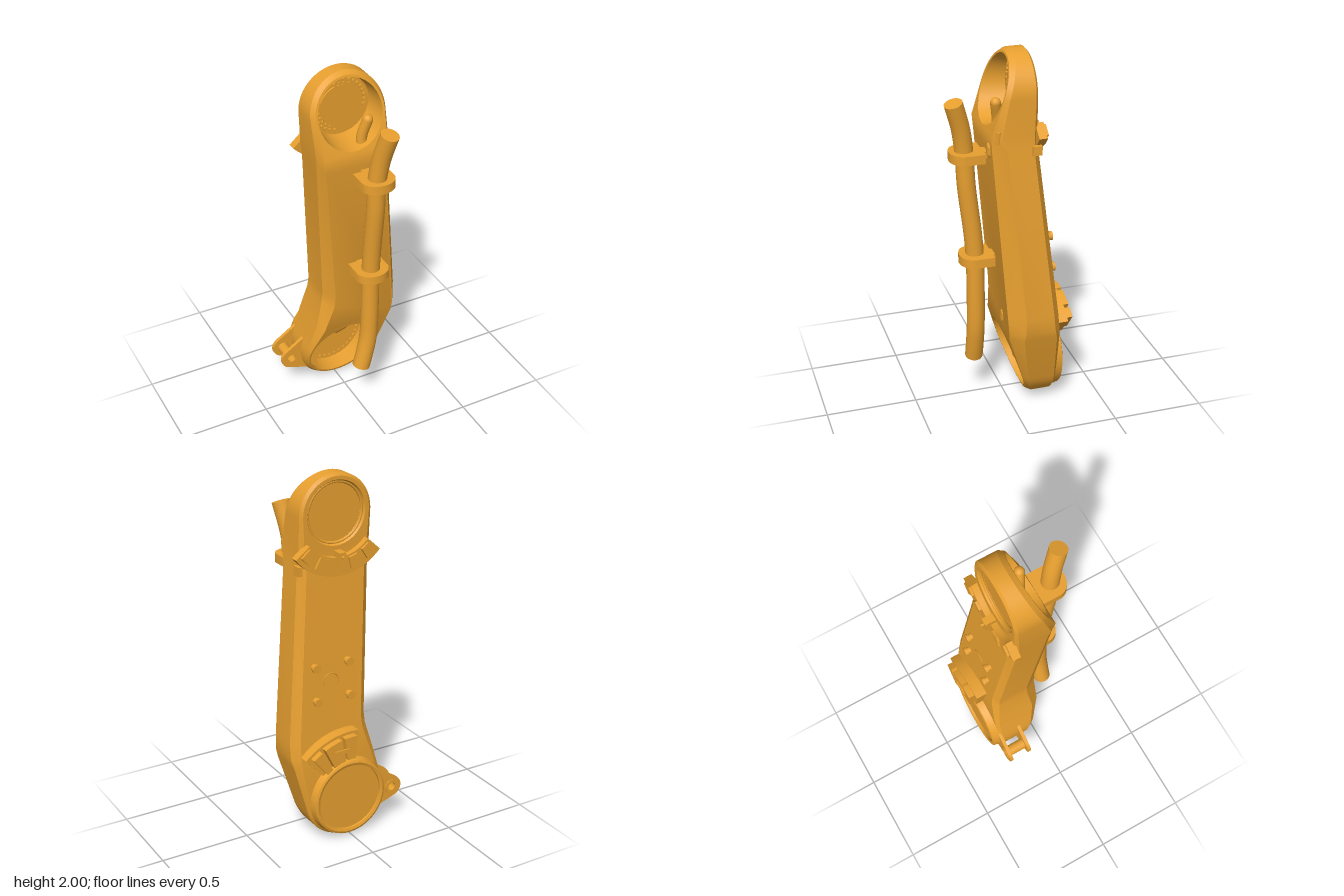
import * as THREE from 'three';
import { toCreasedNormals } from 'three/addons/utils/BufferGeometryUtils.js';

const MAT = new THREE.MeshStandardMaterial({ color: 0xe8a030, side: THREE.DoubleSide });
const TOP = { x: 0.01, y: 1.793, r: 0.18 };
const LOW = { x: 0.01, y: 0.235, r: 0.203 };
const Y_LOW = 0.46, Y_TOP = 1.6;
const lerp = THREE.MathUtils.mapLinear;

// Front and back surface depth by height
const frontZ = y => y > Y_TOP ? lerp(y, Y_TOP, 2, 0.11, -0.02)
  : y > Y_LOW ? lerp(y, Y_LOW, Y_TOP, 0.038, 0.11) : lerp(y, 0, Y_LOW, -0.115, 0.038);
const backZ = y => y > Y_TOP ? -0.13 : y > Y_LOW ? lerp(y, Y_LOW, Y_TOP, -0.245, -0.13) : -0.245;

function circle(c, r, n = 40) {
  return Array.from({ length: n }, (_, i) => {
    const a = i / n * Math.PI * 2;
    return new THREE.Vector2(c.x + r * Math.cos(a), c.y + r * Math.sin(a));
  });
}

function arc(cx, cy, r, from, to, n, inset) {
  return Array.from({ length: n + 1 }, (_, i) => {
    const a = THREE.MathUtils.degToRad(from + (to - from) * i / n);
    return [cx + r * Math.cos(a), cy + r * Math.sin(a), inset, inset];
  });
}

// Joins closed rings of points into triangles
function loft(out, rings) {
  for (let k = 0; k < rings.length - 1; k++) {
    const p = rings[k], q = rings[k + 1], n = p.length;
    for (let i = 0; i < n; i++) {
      const j = (i + 1) % n;
      out.push(p[i], q[i], p[j], p[j], q[i], q[j]);
    }
  }
}

// Flat cap with optional round hole
function cap(out, ring, hole, flip) {
  const holes = hole ? [hole] : [];
  const faces = THREE.ShapeUtils.triangulateShape(ring.map(p => new THREE.Vector2(p.x, p.y)), holes.map(h => h.map(p => new THREE.Vector2(p.x, p.y))));
  const all = ring.concat(...holes);
  for (const [a, b, c] of faces) out.push(...(flip ? [all[a], all[c], all[b]] : [all[a], all[b], all[c]]));
}

// Arm shell: chamfered outline lofted front to back, with bores at both ends
function shellGeometry() {
  // x, y, front inset, back inset, counter-clockwise
  const right = [[0.318, Y_LOW, 0.045, 0.035], [0.331, 0.51, 0.05, 0.045], [0.331, 0.6, 0.055, 0.045],
    [0.23, 1.52, 0.045, 0.04], [0.222, Y_TOP, 0.03, 0.025]];
  const left = [[-0.196, Y_TOP, 0.025, 0.025], [-0.188, 1.52, 0.03, 0.035], [-0.125, 0.68, 0.045, 0.035],
    [-0.13, 0.62, 0.045, 0.035], [-0.17, Y_LOW, 0.03, 0.025]];
  const topArc = arc(0.01, 1.79, 0.21, 0, 180, 24, 0.016);
  const lowArc = arc(0.015, 0.237, 0.237, 160, 345, 26, 0.018);
  const pts = [...right, ...topArc, ...left, ...lowArc], n = pts.length;
  const ring = (k, z) => pts.map((p, i) => {
    const a = pts[(i + n - 1) % n], b = pts[(i + 1) % n];
    const nrm = new THREE.Vector2(b[1] - a[1], a[0] - b[0]).normalize();
    const d = k ? p[k] : 0;
    const x = p[0] - nrm.x * d, y = p[1] - nrm.y * d;
    return new THREE.Vector3(x, y, z(y, p));
  });
  const front = ring(2, y => frontZ(y)), back = ring(3, y => backZ(y));
  const out = [];
  loft(out, [front, ring(0, (y, p) => frontZ(y) - 1.6 * p[2]), ring(0, (y, p) => backZ(y) + 0.8 * p[3]), back]);
  const at = (c, r, z) => circle(c, r).map(p => new THREE.Vector3(p.x, p.y, z(p.y)));
  const iT = right.length - 1, iL = right.length + topArc.length, iE = iL + left.length - 1;
  const parts = r => [r.slice(iT, iL + 1), [...r.slice(0, iT + 1), ...r.slice(iL, iE + 1)], [...r.slice(iE), r[0]]];
  const topRim = at(TOP, TOP.r, frontZ), lowRim = at(LOW, LOW.r, frontZ), backRim = at(TOP, 0.172, () => -0.13);
  parts(front).forEach((r, i) => cap(out, r, [topRim, null, lowRim][i], false));
  parts(back).forEach((r, i) => cap(out, r, [backRim, null, null][i], true));
  loft(out, [at(TOP, 0.165, () => -0.07), topRim]);
  loft(out, [at(LOW, 0.2, () => -0.21), lowRim]);
  loft(out, [backRim, at(TOP, 0.155, () => -0.105)]);
  return toCreasedNormals(new THREE.BufferGeometry().setFromPoints(out), 0.4);
}

const cylZ = (r, h, n = 24, r2 = r) => new THREE.CylinderGeometry(r, r2, h, n).rotateX(Math.PI / 2);
const extrude = (shape, depth) => new THREE.ExtrudeGeometry(shape, { depth, bevelEnabled: false, curveSegments: 16 });
const tube = (points, r) => new THREE.TubeGeometry(
  new THREE.CatmullRomCurve3(points.map(p => new THREE.Vector3(...p))), 48, r, 20);

// Curved band around a joint, angles in degrees
function band(r0, r1, from, to, depth) {
  const a = THREE.MathUtils.degToRad(from), b = THREE.MathUtils.degToRad(to);
  const s = new THREE.Shape();
  s.absarc(0, 0, r1, a, b, false);
  s.absarc(0, 0, r0, b, a, true);
  return extrude(s, depth);
}

export function createModel() {
  const model = new THREE.Group();
  const add = (name, geo, x = 0, y = 0, z = 0) => {
    const m = new THREE.Mesh(geo, MAT);
    m.name = name;
    m.position.set(x, y, z);
    model.add(m);
    return m;
  };
  add('armShell', shellGeometry());

  // Bore floors and raised centre hubs
  add('upperBoreFloor', cylZ(0.175, 0.03, 40), TOP.x, TOP.y, -0.088);
  add('upperHub', cylZ(0.115, 0.01, 40), TOP.x, TOP.y, -0.068);
  add('lowerBoreFloor', cylZ(0.203, 0.03, 40), LOW.x, LOW.y, -0.225);
  add('lowerHub', cylZ(0.165, 0.01, 40), LOW.x, LOW.y, -0.206);

  // Bolt circles
  const bolts = (name, c, r, n, z, skip) => {
    for (let i = 0; i < n; i++) {
      const a = i / n * Math.PI * 2;
      if (!skip(a)) add(name, cylZ(0.011, 0.012, 10), c.x + r * Math.cos(a), c.y + r * Math.sin(a), z);
    }
  };
  const lowerGap = a => a > 4.6 && a < 6;
  bolts('upperBolt', TOP, 0.142, 32, -0.07, lowerGap);
  bolts('upperInnerBolt', TOP, 0.122, 28, -0.07, a => a < 1.1 || (a > 2 && a < 2.9) || a > 4.3);
  bolts('lowerBolt', LOW, 0.183, 36, -0.208, () => false);

  // Rear flange with shallow recess
  const flange = [[0.19, -0.025], [0.19, 0.04], [0.205, 0.045], [0.217, 0.04], [0.232, -0.025]]
    .map(p => new THREE.Vector2(...p));
  add('rearFlange', toCreasedNormals(new THREE.LatheGeometry(flange, 48).rotateX(-Math.PI / 2), 0.5), 0.01, 0.237, -0.245);
  add('rearFlangeFloor', cylZ(0.192, 0.02, 48), 0.01, 0.237, -0.262);
  add('rearUpperLip', new THREE.TorusGeometry(0.16, 0.008, 8, 48), TOP.x, TOP.y, -0.113);

  // Lower stop bracket with ribs
  add('lowerBracket', band(0.245, 0.4, 47, 97, 0.08), 0.015, 0.237, -0.29);
  for (const [a, b] of [[51, 60], [63, 79], [82, 93]]) add('lowerBracketRib', band(0.255, 0.385, a, b, 0.038), 0.015, 0.237, -0.325);
  add('bracketTab', new THREE.BoxGeometry(0.09, 0.02, 0.01), 0.09, 0.55, -0.327);

  // Upper stop bracket, blocks and latch
  add('upperBracket', band(0.225, 0.325, 222, 322, 0.045), TOP.x, TOP.y, -0.165);
  for (const a of [226, 246, 288, 308]) add('upperBracketBlock', band(0.235, 0.3, a, a + 12, 0.02), TOP.x, TOP.y, -0.178);
  add('latch', new THREE.BoxGeometry(0.04, 0.07, 0.06), 0.01, 1.565, -0.165);
  add('latchPin', cylZ(0.009, 0.05, 10), 0.01, 1.575, -0.187);
  add('sideLatch', new THREE.BoxGeometry(0.025, 0.05, 0.05), 0.23, 1.52, -0.12);

  // Rear screws
  for (const x of [-0.02, 0.18]) for (const y of [0.82, 1.005]) {
    add('rearScrew', cylZ(0.019, 0.03, 16), x, y, backZ(y) - 0.01);
    add('rearScrewHead', cylZ(0.024, 0.016, 16), x, y, backZ(y) - 0.026);
  }
  add('rearPlug', new THREE.TorusGeometry(0.045, 0.003, 6, 32), 0.085, 0.91, backZ(0.91));

  // Side lug: two drilled plates joined by a spool
  const lug = new THREE.Shape();
  lug.moveTo(-0.12, 0.1);
  lug.lineTo(-0.12, 0.36);
  lug.lineTo(-0.2, 0.33);
  lug.lineTo(-0.315, 0.255);
  lug.absarc(-0.28, 0.205, 0.06, 2.18, 4.3, false);
  lug.lineTo(-0.19, 0.11);
  const eye = new THREE.Path();
  eye.absarc(-0.28, 0.205, 0.024, 0, Math.PI * 2, true);
  lug.holes.push(eye);
  for (const z of [-0.25, -0.132]) add('lugPlate', extrude(lug, 0.02), 0, 0, z);
  const spool = [[0.024, -0.07], [0.042, -0.07], [0.042, -0.06], [0.031, -0.055], [0.031, 0.055], [0.042, 0.06], [0.042, 0.066], [0.024, 0.066]]
    .map(p => new THREE.Vector2(...p));
  add('lugSpool', toCreasedNormals(new THREE.LatheGeometry(spool, 24).rotateX(Math.PI / 2), 0.5), -0.28, 0.205, -0.185);

  // Cable conduit with closed ends
  const path = [[0.02, 0.25, 0.165], [0.042, 0.34, 0.165], [0.062, 0.45, 0.165], [0.069, 0.6, 0.165], [0.07, 0.88, 0.168],
    [0.07, 1.02, 0.178], [0.07, 1.3, 0.21], [0.07, 1.48, 0.22], [0.083, 1.62, 0.24], [0.105, 1.77, 0.282]];
  add('conduit', tube(path, 0.049));
  [[0, 1], [path.length - 1, path.length - 2]].forEach(([e, i]) => {
    const p = new THREE.Vector3(...path[e]), q = new THREE.Vector3(...path[i]);
    add('conduitEnd', new THREE.CircleGeometry(0.049, 20), ...path[e]).lookAt(p.multiplyScalar(2).sub(q));
  });

  // Conduit clamps: rounded collar, band ears and standoff
  const collar = new THREE.Shape();
  collar.moveTo(-0.092, 0.085);
  collar.lineTo(-0.092, -0.02);
  collar.bezierCurveTo(-0.08, -0.11, 0.08, -0.11, 0.092, -0.02);
  collar.lineTo(0.092, 0.085);
  for (const [y, z] of [[1.475, 0.215], [0.885, 0.168]]) {
    add('clamp', toCreasedNormals(extrude(collar, 0.05).rotateX(Math.PI / 2), 0.5), 0.072, y + 0.025, z).rotation.z = Math.PI;
    model.children.at(-1).rotation.set(Math.PI, 0, 0);
    model.children.at(-1).position.y = y - 0.025;
    for (const s of [-1, 1]) add('clampScrew', cylZ(0.012, 0.02, 12), 0.072 + s * 0.074, y, z + 0.03);
    add('clampStandoff', new THREE.BoxGeometry(0.07, 0.035, 0.08), 0.072, y, z - 0.09);
  }

  // Cable stubs inside the bores
  add('upperCableStub', tube([[0.075, 1.56, 0.05], [0.075, 1.65, 0.045], [0.1, 1.75, 0.06]], 0.028));
  add('upperCableEnd', new THREE.SphereGeometry(0.028, 16, 8), 0.1, 1.75, 0.06);
  add('lowerCableStub', tube([[0.08, 0.46, -0.06], [0.06, 0.36, -0.1], [0.03, 0.26, -0.18]], 0.028));

  // Front slot plug and side bosses
  add('slotPlug', new THREE.CapsuleGeometry(0.022, 0.035, 6, 14).scale(1, 1, 0.4), 0.16, 0.555, frontZ(0.555)).rotation.z = -0.15;
  add('upperFrontBoss', new THREE.CapsuleGeometry(0.025, 0.03, 6, 14).scale(1, 1, 0.5), 0.13, 1.51, 0.105);
  for (const [x, tilt] of [[-0.168, 0.2], [0.2, -0.2]]) {
    add('sideBoss', new THREE.CylinderGeometry(0.012, 0.02, 0.065, 10), x, 1.6, 0.075).rotation.z = tilt;
  }
  return model;
}
